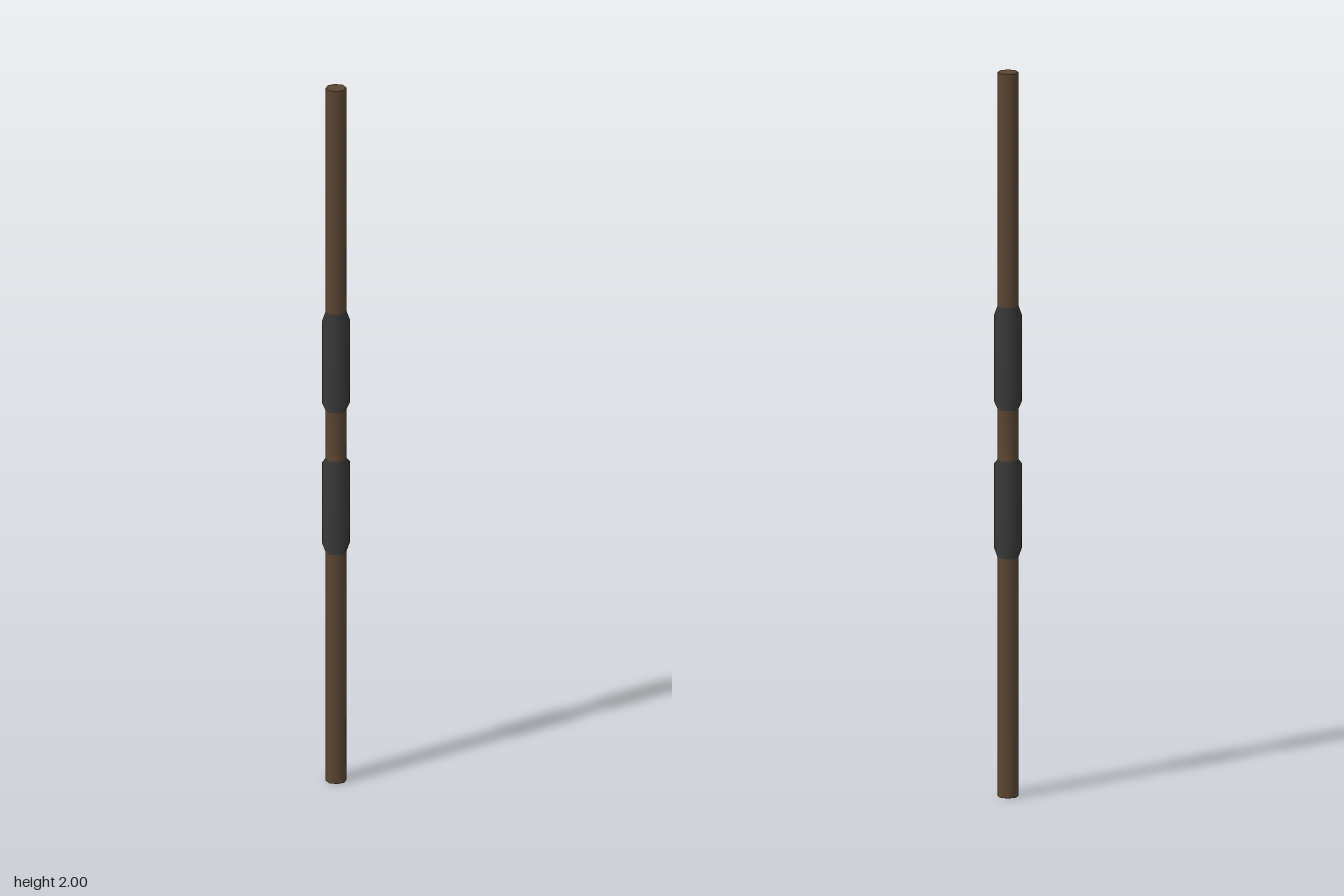
import * as THREE from 'three';

const SIDES = 8;
const ROD = 0.028;
const GRIP = 0.037;

// Profile of the whole staff from bottom to top: [radius, height]
const profile = [
  [ROD, 0], [ROD, 0.66], [GRIP, 0.685], [GRIP, 0.92], [ROD, 0.93],
  [ROD, 1.07], [GRIP, 1.09], [GRIP, 1.33], [ROD, 1.355], [ROD, 2],
];

export function createModel() {
  const wood = new THREE.MeshStandardMaterial({ color: 0x5c4632 });
  wood.name = 'brown wood';
  const wrap = new THREE.MeshStandardMaterial({ color: 0x3a3a3a });
  wrap.name = 'dark grip';

  const staff = new THREE.Group();
  staff.name = 'staff';

  // One lathe supplies normals that run smoothly from part to part
  const lathe = new THREE.LatheGeometry(profile.map(([r, y]) => new THREE.Vector2(r, y)), SIDES);
  const steps = profile.length - 1;

  // Cut the bands from profile step a up to step b out of the lathe
  const addPart = (name, a, b, material) => {
    const index = [];
    for (let i = 0; i < SIDES; i++) {
      const start = i * steps * 6;
      index.push(...lathe.index.array.slice(start + a * 6, start + b * 6));
    }
    const geometry = lathe.clone();
    geometry.setIndex(index);
    const mesh = new THREE.Mesh(geometry, material);
    mesh.name = name;
    staff.add(mesh);
  };
  addPart('lowerShaft', 0, 1, wood);
  addPart('lowerGrip', 1, 4, wrap);
  addPart('middleShaft', 4, 5, wood);
  addPart('upperGrip', 5, 8, wrap);
  addPart('upperShaft', 8, 9, wood);

  // Flat ends
  for (const [name, y, turn] of [['topEnd', 2, -1], ['bottomEnd', 0, 1]]) {
    const end = new THREE.Mesh(new THREE.CircleGeometry(ROD, SIDES), wood);
    end.name = name;
    end.rotation.x = turn * Math.PI / 2;
    end.position.y = y;
    staff.add(end);
  }
  return staff;
}
